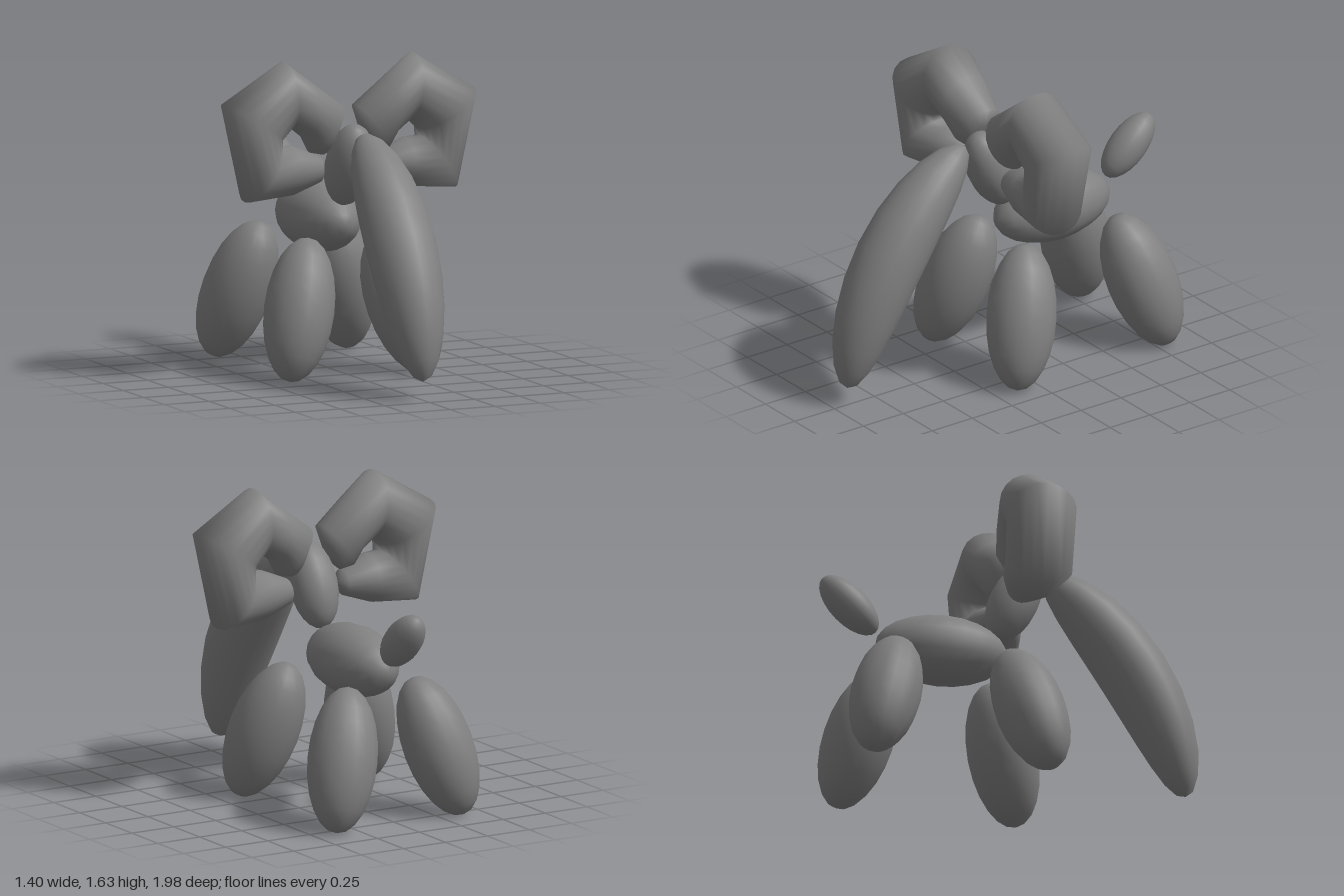
import * as THREE from 'three';

const V = (x, y, z) => new THREE.Vector3(x, y, z);

// Closed skin through elliptical rings: each ring is { c: centre, u, v: half axes }
function loft(rings, sides = 20) {
  const pos = [], idx = [];
  for (const { c, u, v } of rings) {
    for (let j = 0; j < sides; j++) {
      const a = (j / sides) * Math.PI * 2;
      const p = c.clone().addScaledVector(u, Math.cos(a)).addScaledVector(v, Math.sin(a));
      pos.push(p.x, p.y, p.z);
    }
  }
  for (let i = 0; i < rings.length - 1; i++) {
    for (let j = 0; j < sides; j++) {
      const k = (j + 1) % sides, a = i * sides, b = a + sides;
      idx.push(a + j, a + k, b + j, a + k, b + k, b + j);
    }
  }
  const g = new THREE.BufferGeometry();
  g.setAttribute('position', new THREE.Float32BufferAttribute(pos, 3));
  g.setIndex(idx);
  g.computeVertexNormals();
  return g;
}

export function createModel() {
  const model = new THREE.Group();
  const rubber = new THREE.MeshStandardMaterial({ color: 0x808080 });
  rubber.name = 'balloonGrey';

  const add = (name, geometry) => {
    const mesh = new THREE.Mesh(geometry, rubber);
    mesh.name = name;
    model.add(mesh);
    return mesh;
  };

  // Straight balloon segment: ellipsoid of given radius and half length along an axis
  const balloon = (name, centre, axis, radius, half) => {
    const mesh = add(name, new THREE.SphereGeometry(1, 18, 12));
    mesh.scale.set(radius, half, radius);
    mesh.quaternion.setFromUnitVectors(V(0, 1, 0), axis.normalize());
    mesh.position.copy(centre);
  };

  balloon('body', V(0, 0.77, -0.36), V(0, 0, 1), 0.182, 0.342);
  balloon('neck', V(0, 1.085, 0.02), V(0, 0.92, 0.4), 0.125, 0.23);
  balloon('tail', V(0, 0.97, -0.84), V(0, 0.7, -0.72), 0.097, 0.195);

  // Splayed legs
  for (const [side, s] of [['left', 1], ['right', -1]]) {
    balloon(side + 'FrontLeg', V(0.285 * s, 0.36, 0.035), V(-0.27 * s, 1, -0.27), 0.18, 0.375);
    balloon(side + 'BackLeg', V(0.285 * s, 0.36, -0.72), V(-0.27 * s, 1, 0.27), 0.18, 0.375);
  }

  // Trunk: a bent balloon hanging forward
  const spine = new THREE.QuadraticBezierCurve3(V(0, 1.25, 0.18), V(0, 0.84, 0.745), V(0, 0.1, 0.92));
  const trunk = [];
  for (let i = 0; i <= 12; i++) {
    const a = (i / 12) * Math.PI, t = (1 - Math.cos(a)) / 2, r = 0.182 * Math.sin(a);
    const d = spine.getTangent(t);
    trunk.push({ c: spine.getPoint(t), u: V(r, 0, 0), v: V(0, d.z, -d.y).multiplyScalar(r) });
  }
  add('trunk', loft(trunk));

  // Ears: folded loops, each row = outer x, y, inner x, y, half depth
  const earRows = [
    [0.1, 1.22, 0.1, 1.22, 0],
    [0.065, 1.29, 0.15, 1.145, 0.07],
    [0.035, 1.39, 0.22, 1.16, 0.12],
    [0.2, 1.512, 0.25, 1.23, 0.145],
    [0.365, 1.635, 0.335, 1.3, 0.165],
    [0.7, 1.435, 0.39, 1.24, 0.18],
    [0.585, 0.93, 0.405, 1.205, 0.175],
    [0.33, 0.95, 0.32, 1.203, 0.14],
    [0.17, 1.005, 0.17, 1.14, 0.075],
    [0.145, 1.07, 0.145, 1.07, 0],
  ];
  for (const [side, s] of [['left', 1], ['right', -1]]) {
    const rings = earRows.map(([ox, oy, ix, iy, depth]) => {
      const x = (s * (ox + ix)) / 2;
      return {
        c: V(x, (oy + iy) / 2, 0.012 - 0.03 * x),
        u: V((s * (ox - ix)) / 2, (oy - iy) / 2, 0),
        v: V(0, 0, s * depth),
      };
    });
    add(side + 'Ear', loft(rings));
  }

  return model;
}
